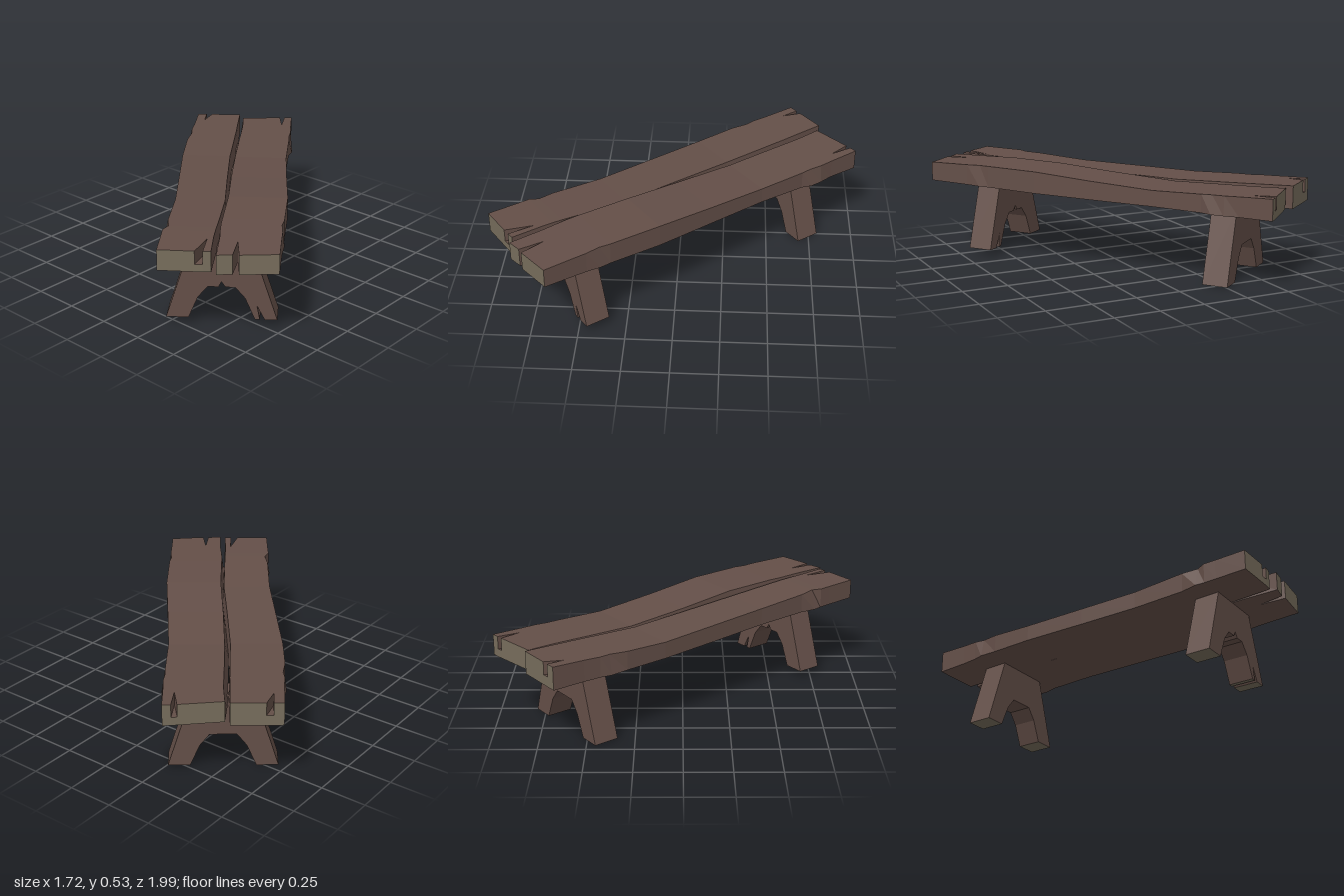
import * as THREE from 'three';

const wood = new THREE.MeshStandardMaterial({ color: 0x644f48 });
wood.name = 'brownWood';
const cutWood = new THREE.MeshStandardMaterial({ color: 0x776d5c });
cutWood.name = 'greyCutWood';
for (const m of [wood, cutWood]) m.flatShading = true;

// Splits loose triangles into a brown mesh and a grey cut-end mesh
function splitMeshes(positions, isCut, name) {
  const parts = [[], []];
  const tri = new THREE.Triangle(), n = new THREE.Vector3(), mid = new THREE.Vector3();
  for (let i = 0; i < positions.length; i += 9) {
    tri.a.fromArray(positions, i);
    tri.b.fromArray(positions, i + 3);
    tri.c.fromArray(positions, i + 6);
    tri.getNormal(n);
    tri.getMidpoint(mid);
    parts[isCut(n, mid) ? 1 : 0].push(...positions.slice(i, i + 9));
  }
  const group = new THREE.Group();
  group.name = name;
  parts.forEach((p, k) => {
    const g = new THREE.BufferGeometry();
    g.setAttribute('position', new THREE.Float32BufferAttribute(p, 3));
    g.computeVertexNormals();
    const mesh = new THREE.Mesh(g, k ? cutWood : wood);
    mesh.name = name + (k ? 'CutEnds' : 'Body');
    group.add(mesh);
  });
  return group;
}

// Height at z, interpolated through [z, height] pairs
function heightAt(table, z) {
  let i = 1;
  while (i < table.length - 1 && z > table[i][0]) i++;
  const [z0, h0] = table[i - 1], [z1, h1] = table[i];
  return h0 + (h1 - h0) * (z - z0) / (z1 - z0);
}

// stations: [z, outerX, seamX, outer top inset, seam top inset]
// ends: [x, z, top inset] from the outer edge to the seam; fills: shallow split floors
function plank(name, { stations, backEnd, frontEnd, fills, top, bottom }) {
  const out = [];
  const prism = (poly, lower = 0) => {
    let pts = poly.map(([x, z, inset = 0]) => ({
      z, flat: new THREE.Vector2(x, z),
      b: [x, heightAt(bottom, z), z],
      t: [x + inset, heightAt(top, z) - lower, z],
    }));
    if (THREE.ShapeUtils.isClockWise(pts.map(p => p.flat))) pts.reverse();
    const tris = THREE.ShapeUtils.triangulateShape(pts.map(p => p.flat), []);
    for (const [i, j, k] of tris) {
      out.push(...pts[i].t, ...pts[k].t, ...pts[j].t);
      out.push(...pts[i].b, ...pts[j].b, ...pts[k].b);
    }
    pts.forEach((a, i) => {
      const b = pts[(i + 1) % pts.length];
      if (a.z === b.z && Math.abs(a.z) < 0.9) return; // inner joint
      out.push(...a.b, ...a.t, ...b.t, ...a.b, ...b.t, ...b.b);
    });
  };
  const edge = ([z, o, s, oi, si]) => [[o, z, oi], [s, z, si]];
  for (let i = 1; i < stations.length; i++) {
    prism([...edge(stations[i - 1]), ...edge(stations[i]).reverse()]);
  }
  prism([...edge(stations[0]).reverse(), ...backEnd]);
  prism([...edge(stations[stations.length - 1]).reverse(), ...frontEnd]);
  for (const f of fills) prism(f, 0.07);
  return splitMeshes(out, (n, m) => Math.abs(n.z) > 0.8 && Math.abs(m.z) > 0.95, name);
}

// Trestle board with an arch; optional splits in the arch and foot
function trestle(name, z, y0, y1, archTop, split) {
  const pts = [[-0.285, y0], [-0.17, y0], [-0.12, y0 + 0.12], [-0.07, archTop]];
  if (split) pts.push([-0.015, archTop], [0.0, archTop + 0.03], [0.02, archTop]);
  pts.push([0.07, archTop], [0.12, y0 + 0.12], [0.17, y0]);
  if (split) pts.push([0.195, y0], [0.18, y0 + 0.08], [0.22, y0]);
  pts.push([0.285, y0], [0.16, y1], [-0.16, y1]);
  const shape = new THREE.Shape(pts.map(p => new THREE.Vector2(...p)));
  const g = new THREE.ExtrudeGeometry(shape, { depth: 0.14, bevelEnabled: false });
  g.translate(0, 0, z - 0.07);
  const flat = g.index ? g.toNonIndexed() : g;
  return splitMeshes(Array.from(flat.attributes.position.array),
    (n, m) => n.y < -0.9 && m.y < y0 + 0.02, name);
}

export function createModel() {
  const model = new THREE.Group();
  model.name = 'bench';
  const bench = new THREE.Group();
  bench.name = 'turnedBench';
  bench.rotation.y = 0.654;
  model.add(bench);

  const bottom = [[-1.03, 0.38], [0, 0.397], [1.03, 0.42]];

  // Seat planks
  bench.add(plank('rightPlank', {
    bottom,
    top: [[-1.03, 0.505], [-0.36, 0.482], [0.34, 0.5], [0.75, 0.525], [1.03, 0.53]],
    stations: [
      [-0.85, -0.3, -0.026, 0, -0.006], [-0.76, -0.308, -0.026, 0, -0.006],
      [-0.7, -0.322, -0.028, 0.02, -0.006], [-0.6, -0.318, -0.03, 0, -0.006],
      [-0.36, -0.32, -0.034, 0, -0.008], [0, -0.3, -0.022, 0, -0.008],
      [0.34, -0.281, -0.008, 0, -0.008], [0.64, -0.283, -0.018, 0, -0.006],
      [0.73, -0.3, -0.022, 0.03, -0.006], [0.78, -0.294, -0.024, 0, -0.006],
      [0.85, -0.293, -0.026, 0, -0.006],
    ],
    backEnd: [[-0.293, -1.03], [-0.24, -1.03], [-0.244, -0.93], [-0.205, -1.03], [-0.029, -1.03]],
    frontEnd: [[-0.293, 1.022], [-0.11, 1.025], [-0.062, 0.877], [-0.07, 1.025], [-0.03, 1.022]],
    fills: [
      [[-0.24, -1.03], [-0.244, -0.93], [-0.205, -1.03]],
      [[-0.11, 1.025], [-0.062, 0.877], [-0.07, 1.025]],
    ],
  }));
  bench.add(plank('leftPlank', {
    bottom,
    top: [[-1.03, 0.495], [-0.3, 0.477], [0.34, 0.526], [0.6, 0.532], [1.03, 0.525]],
    stations: [
      [-0.85, 0.298, -0.02, 0, 0.02], [-0.77, 0.31, -0.024, -0.01, 0.022],
      [-0.7, 0.312, -0.026, -0.02, 0.022], [-0.64, 0.294, -0.028, 0, 0.022],
      [-0.36, 0.286, -0.034, 0, 0.022], [0, 0.3, -0.022, 0, 0.014],
      [0.34, 0.316, -0.008, 0, 0.01], [0.64, 0.308, -0.018, 0, 0.012],
      [0.7, 0.312, -0.02, -0.014, 0.012], [0.78, 0.304, -0.02, 0, 0.014],
      [0.85, 0.302, -0.016, 0, 0.014],
    ],
    backEnd: [[0.299, -1.03], [0.255, -1.028], [0.241, -0.9], [0.225, -1.024], [-0.005, -0.997]],
    frontEnd: [[0.299, 1.023], [0.106, 1.044], [0.09, 0.9], [0.075, 1.04], [-0.003, 1.052]],
    fills: [[[0.255, -1.028], [0.241, -0.9], [0.225, -1.024]]],
  }));

  // Trestle legs
  bench.add(trestle('backLeg', -0.72, 0, 0.405, 0.185, false));
  bench.add(trestle('frontLeg', 0.72, 0.04, 0.43, 0.22, true));
  return model;
}
